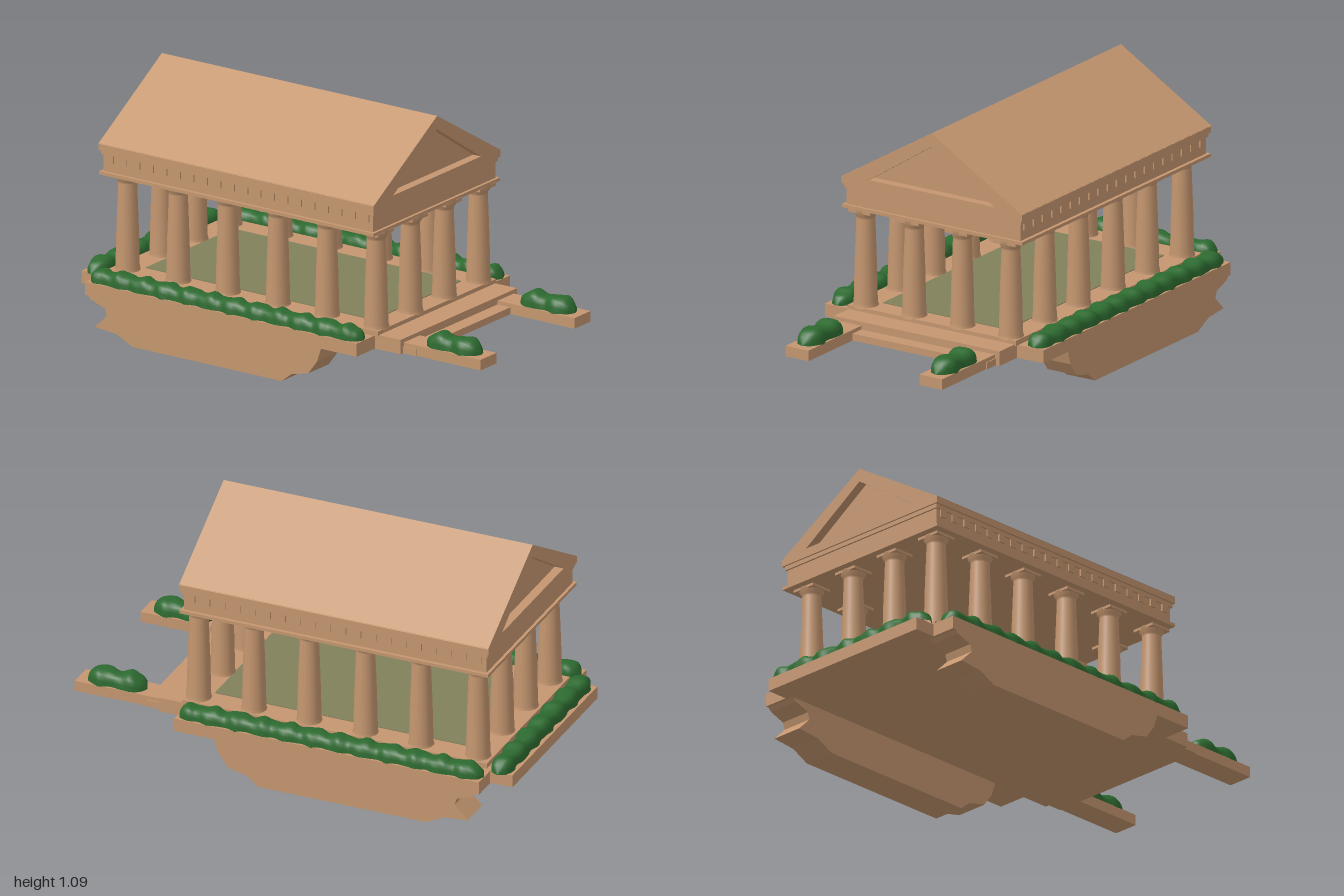
import * as THREE from 'three';

const stone = new THREE.MeshStandardMaterial({ color: 0xc4966f });
stone.name = 'sandstone';
const leaf = new THREE.MeshStandardMaterial({ color: 0x2d6a30 });
leaf.name = 'hedge green';
const paving = new THREE.MeshStandardMaterial({ color: 0x80805a });
paving.name = 'olive paving';

export function createModel() {
  const model = new THREE.Group();
  const add = (name, geometry, material = stone) => {
    const mesh = new THREE.Mesh(geometry, material);
    mesh.name = name;
    model.add(mesh);
    return mesh;
  };
  // Box given by its limits on each axis
  const block = (name, x0, x1, y0, y1, z0, z1, material) =>
    add(name, new THREE.BoxGeometry(x1 - x0, y1 - y0, z1 - z0)
      .translate((x0 + x1) / 2, (y0 + y1) / 2, (z0 + z1) / 2), material);

  // Platform, back ledge and front steps
  block('platform', -0.545, 0.545, 0.18, 0.237, -0.9, 0.48);
  block('backLedge', -0.43, 0.43, 0.18, 0.235, -1, -0.9);
  block('stylobate', -0.42, 0.42, 0.237, 0.26, -0.88, 0.5);
  block('upperStep', -0.413, 0.413, 0.18, 0.243, 0.48, 0.61);
  block('lowerStep', -0.395, 0.395, 0.18, 0.21, 0.61, 0.675);
  block('floor', -0.31, 0.31, 0.259, 0.263, -0.76, 0.4, paving);

  // Rough side footings, profile runs along z
  const footing = new THREE.Shape([
    [0.3, 0.18], [-0.885, 0.18], [-0.87, 0.165], [-0.8, 0.14], [-0.79, 0.11], [-0.85, 0.05],
    [-0.74, 0.04], [-0.66, 0.0], [0.1, 0.0], [0.15, 0.04], [0.235, 0.06], [0.28, 0.12],
  ].map(([z, y]) => new THREE.Vector2(z, y)));

  // Lumpy half-round hedge lying along z, standing on y = 0
  const hedge = (width, height, length, lumps, seed) => {
    const along = Math.max(20, lumps * 8), around = 12;
    const g = new THREE.PlaneGeometry(1, 1, around, along);
    const p = g.attributes.position;
    for (let i = 0; i < p.count; i++) {
      const t = p.getY(i) * 2;
      const a = Math.PI * (0.5 - p.getX(i));
      const end = Math.pow(Math.max(0, 1 - Math.pow(Math.abs(t), length / width * 2)), 0.45);
      const wave = 0.9 + 0.1 * Math.cos(lumps * Math.PI * (t + 1) + Math.PI + seed)
        + 0.04 * Math.sin(t * lumps * 5.3 + seed * 2 + a * 2);
      const r = end * wave;
      const c = Math.cos(a), s = Math.max(0, Math.sin(a));
      p.setXYZ(i, Math.sign(c) * Math.pow(Math.abs(c), 0.7) * r * width / 2,
        Math.pow(s, 0.7) * r * height, -t * length / 2);
    }
    g.computeVertexNormals();
    return g;
  };

  for (const s of [-1, 1]) {
    const side = s > 0 ? 'left' : 'right';
    add(side + 'Footing', new THREE.ExtrudeGeometry(footing, { depth: 0.145, bevelEnabled: false })
      .rotateY(-Math.PI / 2).translate(s * 0.4725 + 0.0725, 0, 0));
    // Low wall reaching forward beside the steps, with a shrub on it
    const x = s * 0.333;
    block(side + 'StepWall', x - 0.057, x + 0.057, 0.18, 0.226, 0.6, 1);
    add(side + 'Shrub', hedge(0.115, 0.066, 0.27, 2, 0), leaf).position.set(x, 0.224, 0.83);
    add(side + 'Hedge', hedge(0.105, 0.06, 1.38, 12, s), leaf).position.set(s * 0.492, 0.235, -0.21);
  }
  const back = add('backHedge', hedge(0.1, 0.062, 0.9, 7, 0.6), leaf);
  back.rotation.y = Math.PI / 2;
  back.position.set(0, 0.234, -0.94);

  // Tapered columns with flared capitals, around all four sides
  const shaft = new THREE.LatheGeometry([
    [0.056, 0.255], [0.051, 0.275], [0.047, 0.45], [0.04, 0.64], [0.041, 0.65], [0.053, 0.668], [0.053, 0.685],
  ].map(([r, y]) => new THREE.Vector2(r, y)), 16);
  const zs = [0.45, 0.2, -0.05, -0.305, -0.557, -0.815];
  for (const x of [-0.362, -0.12, 0.12, 0.362]) {
    zs.forEach((z, i) => {
      if (Math.abs(x) < 0.3 && i > 0 && i < zs.length - 1) return;
      const column = new THREE.Group();
      column.name = 'column';
      const body = new THREE.Mesh(shaft, stone);
      body.name = 'shaft';
      const abacus = new THREE.Mesh(new THREE.BoxGeometry(0.112, 0.014, 0.1), stone);
      abacus.name = 'abacus';
      abacus.position.y = 0.675;
      column.add(body, abacus);
      column.position.set(x, 0, z);
      model.add(column);
    });
  }

  // Entablature
  block('architraveLip', -0.45, 0.45, 0.68, 0.694, -0.898, 0.498);
  block('frieze', -0.434, 0.434, 0.69, 0.79, -0.885, 0.485);
  block('corniceBed', -0.441, 0.441, 0.768, 0.79, -0.893, 0.493);
  block('cornice', -0.45, 0.45, 0.786, 0.816, -0.9, 0.5);
  for (const s of [-1, 1]) {
    for (let i = 0; i < 20; i++) {
      const z = 0.45 - i * 0.0684;
      block('friezeBlock', s * 0.436 - 0.005, s * 0.436 + 0.005, 0.735, 0.77, z - 0.016, z + 0.016);
    }
  }

  // Gabled roof with a sunken pediment at both ends
  const triangle = (Type, halfWidth, base, apex) => new Type([
    new THREE.Vector2(-halfWidth, base), new THREE.Vector2(halfWidth, base), new THREE.Vector2(0, apex),
  ]);
  const gable = triangle(THREE.Shape, 0.452, 0.814, 1.086);
  gable.holes.push(triangle(THREE.Path, 0.312, 0.824, 1.028));
  add('roof', new THREE.ExtrudeGeometry(gable, { depth: 1.4, bevelEnabled: false }).translate(0, 0, -0.9));
  add('pediment', new THREE.ExtrudeGeometry(triangle(THREE.Shape, 0.33, 0.818, 1.034),
    { depth: 1.32, bevelEnabled: false }).translate(0, 0, -0.86));

  return model;
}
